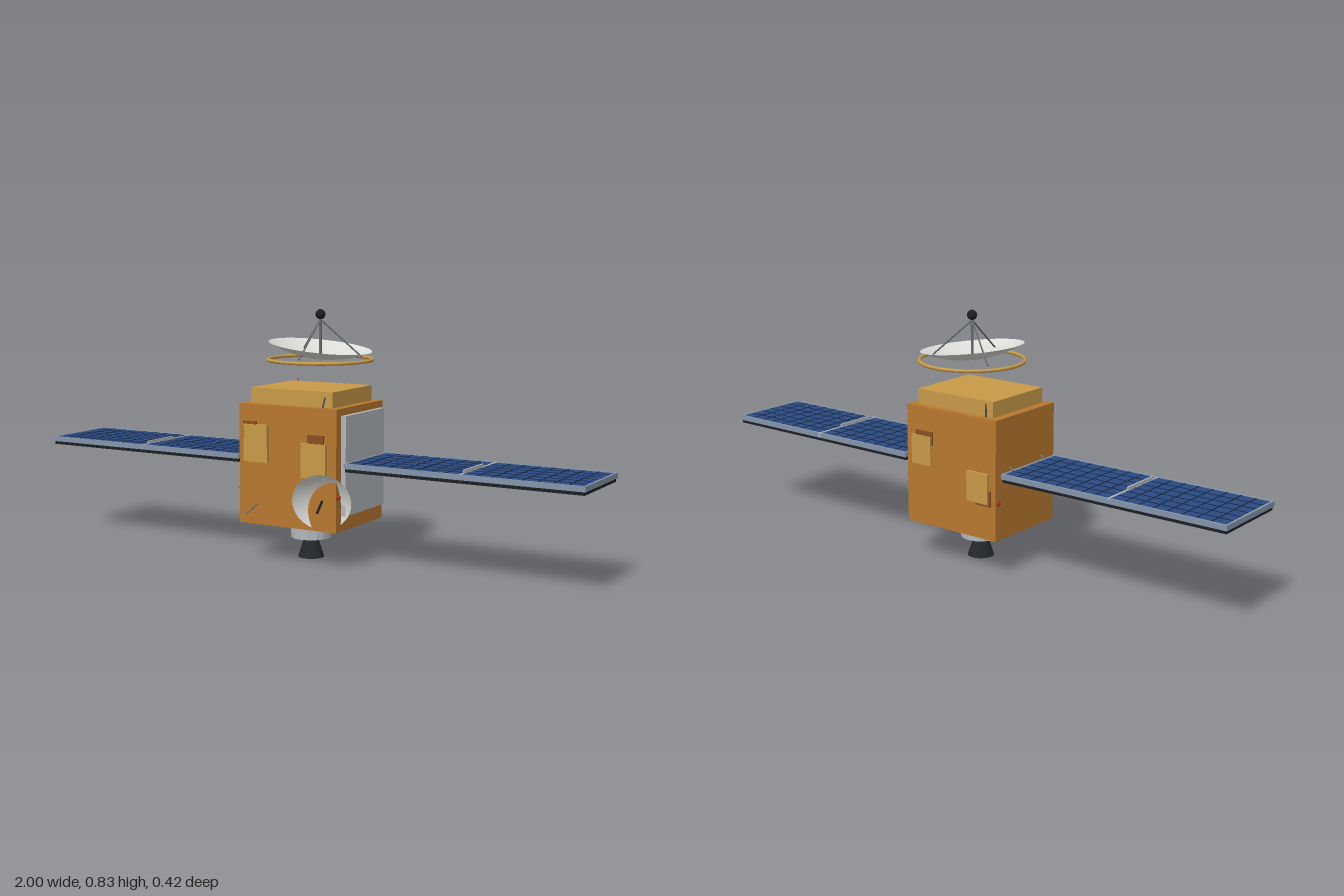
import * as THREE from 'three';

const mat = (color, extra = {}) => new THREE.MeshStandardMaterial({ color, ...extra });
const M = {
  foil: mat(0xb87830), gold: mat(0xc89a48), brown: mat(0x8a4f22), grey: mat(0xb4b8bb),
  facet: mat(0xb4b8bb, { flatShading: true }), frame: mat(0x8494a8), cell: mat(0x2a4a80),
  line: mat(0x16233f), dark: mat(0x1c1f23), rod: mat(0x6a6e70), red: mat(0xb03020),
  dish: mat(0xdcddd8, { side: THREE.DoubleSide }),
  nozzle: mat(0x24272b, { side: THREE.DoubleSide }),
};
const UP = new THREE.Vector3(0, 1, 0);

export function createModel() {
  const root = new THREE.Group();

  const add = (name, geo, material, pos = [0, 0, 0], parent = root) => {
    const m = new THREE.Mesh(geo, material);
    m.name = name;
    m.position.set(...pos);
    parent.add(m);
    return m;
  };
  // box given by its limits on each axis
  const box = (name, material, [x0, x1], [y0, y1], [z0, z1], parent) =>
    add(name, new THREE.BoxGeometry(x1 - x0, y1 - y0, z1 - z0), material,
      [(x0 + x1) / 2, (y0 + y1) / 2, (z0 + z1) / 2], parent);
  // round bar between two points
  const bar = (name, material, a, b, r, parent) => {
    const p = new THREE.Vector3(...a), d = new THREE.Vector3(...b).sub(p);
    const m = add(name, new THREE.CylinderGeometry(r, r, d.length(), 10), material,
      p.clone().addScaledVector(d, 0.5).toArray(), parent);
    m.quaternion.setFromUnitVectors(UP, d.normalize());
    return m;
  };
  // parabolic bowl, rim at y = 0, opening upward
  const bowl = (radius, depth) => {
    const pts = [];
    for (let i = 0; i <= 10; i++) {
      const t = i / 10;
      pts.push(new THREE.Vector2(radius * t, depth * (t * t - 1)));
    }
    return new THREE.LatheGeometry(pts, 40);
  };

  // main body, upper deck and side radiator
  box('body', M.foil, [-0.187, 0.18], [0.125, 0.523], [-0.178, 0.131]);
  box('upperDeck', M.gold, [-0.157, 0.152], [0.523, 0.574], [-0.154, 0.107]);
  box('radiator', M.grey, [0.18, 0.197], [0.176, 0.5], [-0.159, 0.1]);

  // equipment covers with brown brackets, front and back
  box('frontCover', M.gold, [-0.163, -0.072], [0.334, 0.457], [0.13, 0.145]);
  box('frontBracket', M.brown, [-0.168, -0.118], [0.41, 0.466], [0.13, 0.14]);
  box('frontCover', M.gold, [0.056, 0.147], [0.297, 0.409], [0.13, 0.145]);
  box('frontBracket', M.brown, [0.078, 0.136], [0.39, 0.436], [0.13, 0.14]);
  box('backCover', M.gold, [0.075, 0.155], [0.33, 0.428], [-0.187, -0.177]);
  box('backBracket', M.brown, [0.07, 0.14], [0.4, 0.444], [-0.183, -0.177]);
  box('backCover', M.gold, [-0.16, -0.075], [0.245, 0.345], [-0.187, -0.177]);
  box('backBracket', M.brown, [-0.168, -0.11], [0.237, 0.29], [-0.183, -0.177]);

  // solar wings, mirrored
  for (const s of [1, -1]) {
    const wing = new THREE.Group();
    wing.name = s > 0 ? 'leftWing' : 'rightWing';
    root.add(wing);
    const span = (a, b) => (s > 0 ? [a, b] : [-b, -a]);
    box('panelBacking', M.dark, span(0.203, 0.996), [0.323, 0.335], [-0.163, 0.114], wing);
    box('panelCore', M.frame, span(0.2, 0.998), [0.334, 0.346], [-0.165, 0.115], wing);
    for (const z of [-0.168, 0.111]) box('sideRail', M.frame, span(0.2, 1), [0.334, 0.351], [z, z + 0.008], wing);
    for (const x of [0.2, 0.596, 0.992])
      box('crossRail', x === 0.596 ? M.grey : M.frame, span(x, x + 0.008), [0.334, 0.351], [-0.168, 0.119], wing);
    box('panelHinge', M.grey, span(0.597, 0.603), [0.35, 0.36], [-0.058, 0.084], wing);
    // cell field with dark seams on each of the two panels
    for (const x0 of [0.208, 0.604]) {
      const x1 = x0 + 0.388;
      box('solarCells', M.cell, span(x0, x1), [0.345, 0.349], [-0.16, 0.111], wing);
      for (let i = 1; i < 8; i++) {
        const x = x0 + (x1 - x0) * i / 8;
        box('cellSeam', M.line, span(x - 0.002, x + 0.002), [0.346, 0.35], [-0.16, 0.111], wing);
      }
      for (let j = 1; j < 6; j++) {
        const z = -0.16 + 0.271 * j / 6;
        box('cellSeam', M.line, span(x0, x1), [0.346, 0.35], [z - 0.002, z + 0.002], wing);
      }
    }
    // wing mounts
    for (const z of [0.06, -0.108]) {
      bar('wingMount', M.grey, [s * 0.175, 0.327, z], [s * 0.206, 0.327, z], 0.011, wing);
      bar('mountStrut', M.rod, [s * 0.18, 0.362, z], [s * 0.215, 0.345, z], 0.003, wing);
    }
  }

  // main dish with gold ring and tripod feed
  const cx = 0.028, cz = -0.028;
  const mainDish = new THREE.Group();
  mainDish.name = 'mainDish';
  root.add(mainDish);
  add('dishBowl', bowl(0.171, 0.04), M.dish, [cx, 0.707, cz], mainDish).rotation.z = -0.115;
  add('dishRing', new THREE.TorusGeometry(0.172, 0.0058, 10, 48), M.gold, [cx, 0.664, cz], mainDish)
    .rotation.x = Math.PI / 2;
  bar('feedMast', M.rod, [cx, 0.668, cz], [cx, 0.81, cz], 0.0045, mainDish);
  add('feedBall', new THREE.SphereGeometry(0.0165, 20, 14), M.dark, [cx, 0.812, cz], mainDish);
  for (let i = 0; i < 3; i++) {
    const a = i * Math.PI * 2 / 3;
    bar('feedStrut', M.rod, [cx + 0.136 * Math.sin(a), 0.672, cz + 0.136 * Math.cos(a)],
      [cx, 0.795, cz], 0.0028, mainDish);
  }

  // small dish on the front, partly sunk into the body
  const smallDish = new THREE.Group();
  smallDish.name = 'smallDish';
  smallDish.position.set(0.131, 0.222, 0.139);
  smallDish.quaternion.setFromUnitVectors(UP, new THREE.Vector3(0.33, -0.24, 0.916).normalize());
  root.add(smallDish);
  add('smallBowl', bowl(0.096, 0.03), M.dish, [0, 0, 0], smallDish);
  bar('smallFeed', M.dark, [0, -0.03, 0], [0, 0.077, 0], 0.004, smallDish);

  // whip antennas
  bar('antenna', M.rod, [0.12, 0.52, 0.115], [0.142, 0.561, 0.137], 0.0028);
  bar('antenna', M.rod, [-0.13, 0.52, -0.155], [-0.16, 0.577, -0.194], 0.0028);
  bar('antenna', M.rod, [-0.12, 0.193, 0.13], [-0.145, 0.16, 0.16], 0.0028);

  // marker lights near the corners
  for (const [x, y, z] of [[0.18, 0.24, 0.12], [0.18, 0.258, -0.165], [-0.185, 0.24, 0.12], [-0.185, 0.25, -0.165]])
    add('markerLight', new THREE.SphereGeometry(0.0095, 14, 10), M.red, [x, y, z]);

  // engine and corner thrusters
  const ex = -0.004, ez = -0.023;
  add('engineCollar', new THREE.CylinderGeometry(0.068, 0.068, 0.052, 16), M.facet, [ex, 0.094, ez]);
  add('engineMount', new THREE.CylinderGeometry(0.045, 0.045, 0.01, 16), M.dark, [ex, 0.122, ez]);
  add('engineNozzle', new THREE.CylinderGeometry(0.021, 0.044, 0.07, 24, 1, true), M.nozzle, [ex, 0.035, ez]);
  for (const x of [-0.104, 0.098]) for (const z of [0.06, -0.106])
    add('thruster', new THREE.CylinderGeometry(0.009, 0.013, 0.014, 14), M.dark, [x, 0.119, z]);

  return root;
}
